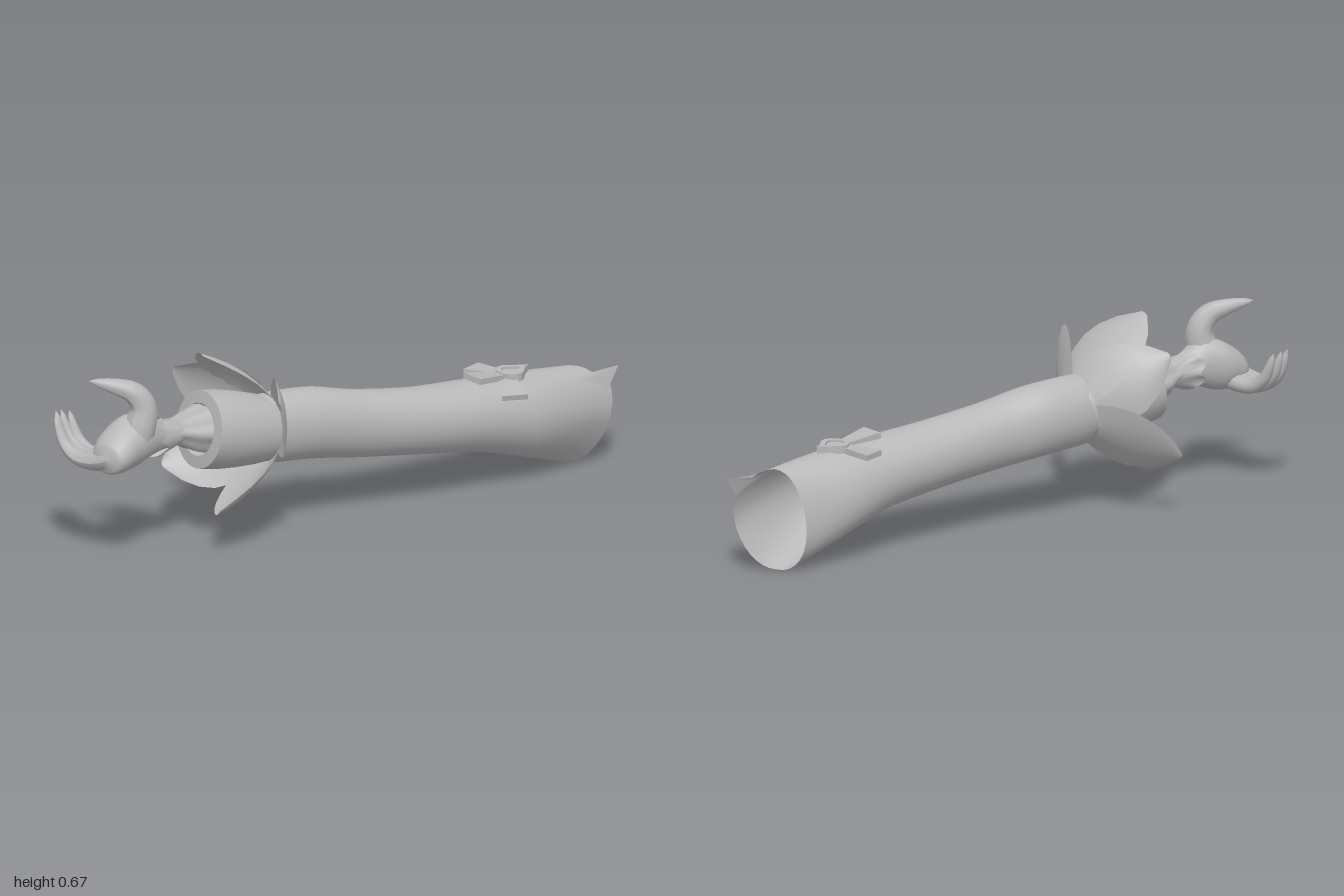
import * as THREE from 'three';

const V = (x, y, z) => new THREE.Vector3(x, y, z);
const grey = new THREE.MeshStandardMaterial({ color: 0xb8b8b8, side: THREE.DoubleSide });
grey.name = 'plain grey';

function add(parent, name, geometry) {
  const mesh = new THREE.Mesh(geometry, grey);
  mesh.name = name;
  parent.add(mesh);
  return mesh;
}

function fromGrid(points, index) {
  const g = new THREE.BufferGeometry().setFromPoints(points);
  g.setIndex(index);
  g.computeVertexNormals();
  return g;
}

// Smooth skin over elliptical sections [z, cx, cy, rx, ry], listed from front to back
function loft(sections, rings, sides, shape = () => {}) {
  const centres = new THREE.CatmullRomCurve3(sections.map(s => V(s[1], s[2], s[0])));
  const radii = new THREE.CatmullRomCurve3(sections.map(s => V(s[3], s[4], 0)));
  const points = [], index = [];
  for (let i = 0; i <= rings; i++) {
    const t = i / rings, c = centres.getPoint(t), r = radii.getPoint(t);
    for (let j = 0; j < sides; j++) {
      const a = (j / sides) * Math.PI * 2;
      const p = V(c.x + r.x * Math.cos(a), c.y + r.y * Math.sin(a), c.z);
      shape(p, a, t, c);
      points.push(p);
      if (i === rings) continue;
      const k = i * sides + j, n = i * sides + ((j + 1) % sides);
      index.push(k, k + sides, n, n, k + sides, n + sides);
    }
  }
  return fromGrid(points, index);
}

// Rounded finger that narrows along its path
function finger(path, r0, r1) {
  const curve = new THREE.CatmullRomCurve3(path), n = 18, m = 10;
  const g = new THREE.TubeGeometry(curve, n, 1, m);
  const pos = g.attributes.position, p = V(0, 0, 0);
  for (let i = 0; i <= n; i++) {
    const t = i / n, c = curve.getPointAt(t);
    const r = (r0 + (r1 - r0) * t) * Math.sqrt(Math.max(0, 1 - t ** 8)) + 0.0005;
    for (let j = 0; j <= m; j++) {
      const k = i * (m + 1) + j;
      p.fromBufferAttribute(pos, k).sub(c).multiplyScalar(r).add(c);
      pos.setXYZ(k, p.x, p.y, p.z);
    }
  }
  g.computeVertexNormals();
  return g;
}

// Cupped, pointed petal from the collar ring to its tip
const collar = V(-0.03, 0.365, 0.33);
const axis = V(-0.075, 0.05, 0.255).normalize();
function petal(tip, scale) {
  const out = tip.clone().sub(collar);
  out.addScaledVector(axis, -out.dot(axis)).normalize();
  const side = axis.clone().cross(out);
  const base = collar.clone().addScaledVector(out, 0.112);
  const widths = [0.095, 0.13, 0.145, 0.145, 0.125, 0.085, 0.02];
  const points = [], index = [], rows = widths.length - 1, cols = 8;
  for (let i = 0; i <= rows; i++) for (let j = 0; j <= cols; j++) {
    const t = i / rows, u = (j / cols) * 2 - 1;
    points.push(base.clone().lerp(tip, t)
      .addScaledVector(out, 0.025 * Math.sin(Math.PI * t) - 0.05 * u * u * (1 - 0.85 * t * t))
      .addScaledVector(side, u * widths[i] * (1 + (scale - 1) * t)));
    if (i < rows && j < cols) {
      const k = i * (cols + 1) + j, n = k + cols + 1;
      index.push(k, k + 1, n, k + 1, n + 1, n);
    }
  }
  return fromGrid(points, index);
}

// Flat ribbon that widens from p to q
function ribbon(p, q, w0, w1, thick) {
  const d = q.clone().sub(p), len = d.length();
  const g = new THREE.BoxGeometry(len, thick, 1).toNonIndexed();
  const pos = g.attributes.position;
  for (let i = 0; i < pos.count; i++)
    pos.setZ(i, pos.getZ(i) * (pos.getX(i) > 0 ? w1 : w0));
  const x = d.normalize(), z = x.clone().cross(V(0, 1, 0)).normalize(), y = z.clone().cross(x);
  g.applyMatrix4(new THREE.Matrix4().makeBasis(x, y, z).setPosition(p.clone().lerp(q, 0.5)));
  g.computeVertexNormals();
  return g;
}

export function createModel() {
  const model = new THREE.Group();
  model.name = 'gloved arm';

  // Long sleeve; its open end is slanted, narrows underneath and has one sharp point
  add(model, 'sleeve', loft([
    [0.36, -0.04, 0.367, 0.096, 0.118],
    [0.27, -0.015, 0.362, 0.102, 0.125],
    [0.14, 0.03, 0.35, 0.105, 0.126],
    [0, 0.093, 0.323, 0.1, 0.12],
    [-0.23, 0.178, 0.289, 0.117, 0.118],
    [-0.45, 0.243, 0.262, 0.128, 0.128],
    [-0.63, 0.288, 0.228, 0.133, 0.147],
    [-0.855, 0.338, 0.18, 0.102, 0.172],
  ], 35, 32, (p, a, t, c) => {
    const k = Math.max(0, t * 7 - 6), low = Math.max(0, -Math.sin(a));
    const corner = Math.max(0, Math.cos(a - Math.PI * 1.25)) ** 2 * Math.max(0, t * 3.5 - 2.5);
    p.x -= 0.022 * corner;
    p.y -= 0.012 * corner;
    p.z -= k * (Math.cos(a) > 0 ? 0.09 : 0.03) * Math.cos(a);
    if (a <= Math.PI / 4) p.z -= 0.055 * k * a;
    if (p.x > c.x) p.x -= (p.x - c.x) * 0.35 * k * low;
    if (t === 1 && Math.abs(a - Math.PI / 4) < 0.05) p.set(0.43, 0.335, -0.995);
  }));

  // Bell cuff: wall, flat rim and hollow
  const cuff = new THREE.Group();
  cuff.name = 'cuff';
  cuff.position.copy(collar);
  cuff.quaternion.setFromUnitVectors(V(0, 1, 0), axis);
  const lathe = (name, pts) =>
    add(cuff, name, new THREE.LatheGeometry(pts.map(([r, h]) => new THREE.Vector2(r, h)), 36));
  lathe('cuffWall', [[0.108, -0.01], [0.12, 0.05], [0.129, 0.12], [0.135, 0.2], [0.133, 0.268]]);
  lathe('cuffRim', [[0.133, 0.268], [0.09, 0.272]]);
  lathe('cuffHollow', [[0.09, 0.272], [0.085, 0.25], [0.06, 0.235], [0.001, 0.23]]);
  model.add(cuff);

  // Five flared petals around the cuff
  const petals = new THREE.Group();
  petals.name = 'petals';
  [
    [V(-0.13, 0.672, 0.55), 1.05],
    [V(0.22, 0.555, 0.545), 0.8],
    [V(0.03, 0.157, 0.65), 0.75],
    [V(-0.342, 0.212, 0.49), 0.85],
    [V(-0.3, 0.565, 0.48), 0.75],
  ].forEach(([tip, s]) => add(petals, 'petal', petal(tip, s)));
  model.add(petals);

  // Hand: gathered wrist running into the cupped palm
  const hand = new THREE.Group();
  hand.name = 'hand';
  add(hand, 'palm', loft([
    [0.993, -0.185, 0.395, 0.002, 0.002],
    [0.975, -0.185, 0.395, 0.06, 0.052],
    [0.93, -0.19, 0.408, 0.08, 0.073],
    [0.86, -0.185, 0.43, 0.077, 0.09],
    [0.8, -0.165, 0.442, 0.06, 0.08],
    [0.75, -0.148, 0.432, 0.047, 0.055],
    [0.68, -0.137, 0.425, 0.048, 0.044],
    [0.62, -0.125, 0.412, 0.07, 0.064],
    [0.55, -0.105, 0.408, 0.088, 0.086],
  ], 40, 30, (p, a, t, c) => {
    const k = t > 0.65 ? 1 + 0.08 * Math.cos(a * 6) : 1;
    p.x = c.x + (p.x - c.x) * k;
    p.y = c.y + (p.y - c.y) * k;
  }));

  // Ragged frill around the wrist
  add(hand, 'wristFrill', loft([
    [0.77, -0.155, 0.425, 0.062, 0.07],
    [0.73, -0.145, 0.423, 0.054, 0.055],
    [0.67, -0.136, 0.423, 0.046, 0.042],
  ], 6, 28, (p, a, t) => { p.z += 0.022 * Math.cos(a * 7) * (1 - t); }));

  add(hand, 'thumb', finger([
    V(-0.18, 0.42, 0.85), V(-0.157, 0.48, 0.835), V(-0.15, 0.55, 0.825),
    V(-0.17, 0.602, 0.85), V(-0.22, 0.63, 0.9), V(-0.28, 0.648, 0.955),
  ], 0.066, 0.015));

  // Four fingers curling upwards side by side
  [[0.895, 0.92], [0.918, 0.98], [0.942, 1], [0.963, 0.94]].forEach(([z, s], i) => {
    const x = d => -0.18 - d * s;
    add(hand, 'finger' + (i + 1), finger([
      V(x(0), 0.39, z), V(x(0.09), 0.368, z), V(x(0.16), 0.37, z),
      V(x(0.212), 0.405, z), V(x(0.235), 0.445, z), V(x(0.255), 0.42 + 0.085 * s, z),
    ], 0.035, 0.014));
  });
  model.add(hand);

  // Bow with two loops, a tail and a drop-shaped stone
  const bow = new THREE.Group();
  bow.name = 'bow';
  const knot = V(0.285, 0.378, -0.58);
  add(bow, 'bowLeft', ribbon(knot, V(0.385, 0.342, -0.5), 0.035, 0.09, 0.02));
  add(bow, 'bowRight', ribbon(knot, V(0.135, 0.372, -0.57), 0.035, 0.085, 0.02));
  add(bow, 'bowTail', ribbon(knot, V(0.255, 0.4, -0.43), 0.035, 0.09, 0.02));
  const drop = s => {
    const shape = new THREE.Shape();
    shape.moveTo(0, 0.085 * s);
    shape.bezierCurveTo(0.02 * s, 0.04 * s, 0.055 * s, 0.03 * s, 0.052 * s, -0.005 * s);
    shape.bezierCurveTo(0.042 * s, -0.055 * s, -0.042 * s, -0.055 * s, -0.052 * s, -0.005 * s);
    shape.bezierCurveTo(-0.055 * s, 0.03 * s, -0.02 * s, 0.04 * s, 0, 0.085 * s);
    return shape;
  };
  const frame = drop(1);
  frame.holes.push(drop(0.62));
  [['stoneFrame', frame, 0.028], ['stone', drop(0.62), 0.02]].forEach(([name, shape, depth]) => {
    const m = add(bow, name, new THREE.ExtrudeGeometry(shape, { depth, bevelEnabled: false, curveSegments: 8 }));
    m.position.set(0.287, 0.368, -0.59);
    m.rotation.set(-Math.PI / 2, 0, -0.15);
  });
  model.add(bow);

  return model;
}
